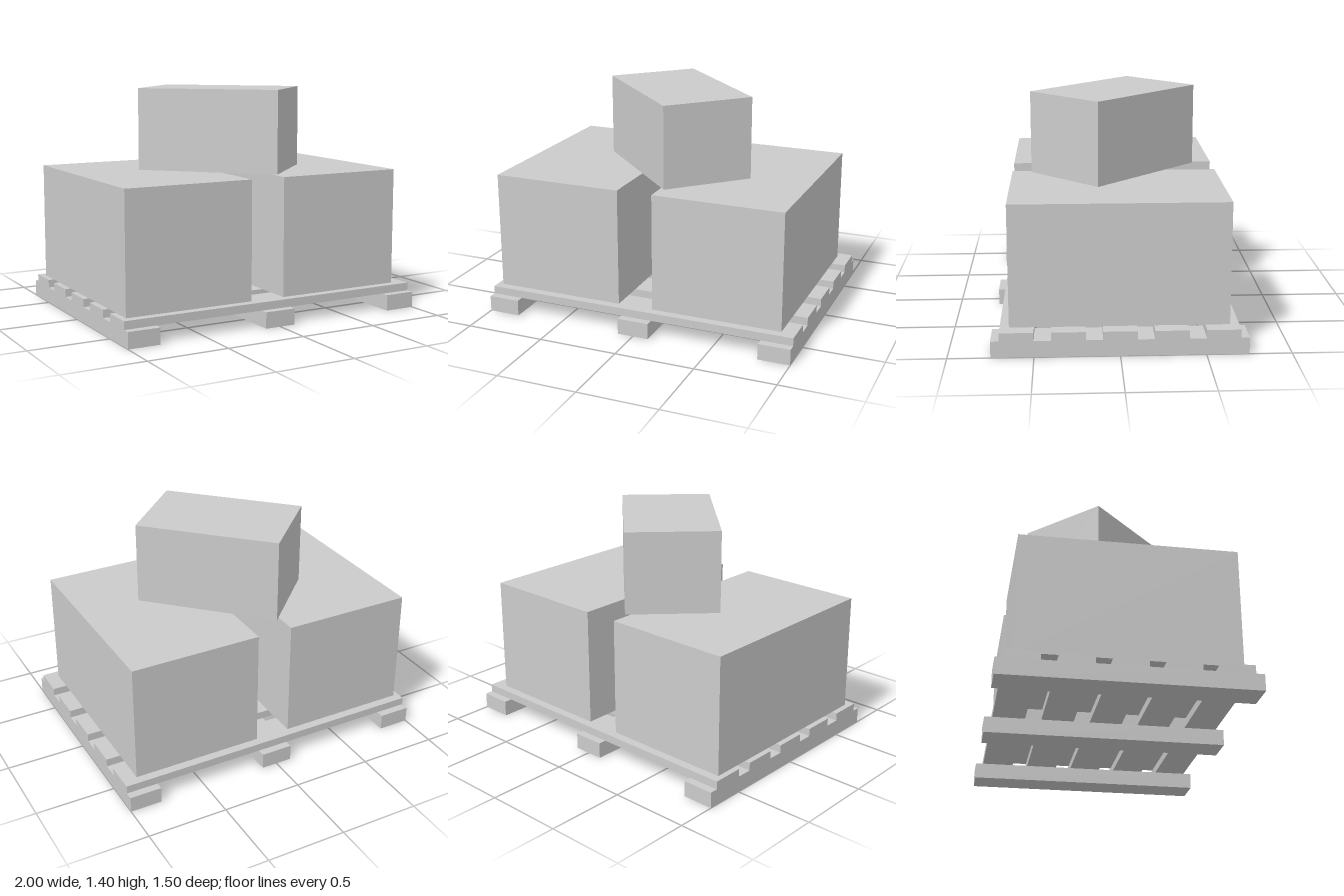
import * as THREE from 'three';

export function createModel() {
  const model = new THREE.Group();
  const material = new THREE.MeshStandardMaterial({ color: 0xcccccc, flatShading: true });

  // Adds a box whose underside rests at height y
  function addBox(parent, name, [w, h, d], [x, y, z]) {
    const mesh = new THREE.Mesh(new THREE.BoxGeometry(w, h, d), material);
    mesh.name = name;
    mesh.position.set(x, y + h / 2, z);
    parent.add(mesh);
    return mesh;
  }

  // Pallet: three runners carrying five evenly spaced deck boards
  const pallet = new THREE.Group();
  pallet.name = 'pallet';
  model.add(pallet);
  for (const x of [-0.9, 0, 0.9]) addBox(pallet, 'runner', [0.2, 0.1, 1.5], [x, 0, 0]);
  for (let i = -2; i <= 2; i++) addBox(pallet, 'deckBoard', [2, 0.05, 0.2], [0, 0.1, i * 0.3]);

  // Two large crates side by side, slightly off centre
  const crateSize = [0.825, 0.738, 1.29];
  addBox(model, 'rightCrate', crateSize, [-0.552, 0.15, 0]);
  addBox(model, 'leftCrate', crateSize, [0.498, 0.15, 0]);

  // Smaller crate set diagonally across both
  const topCrate = addBox(model, 'topCrate', [0.9, 0.516, 0.58], [0, 0.888, 0]);
  topCrate.rotation.y = -Math.PI / 4;

  return model;
}
